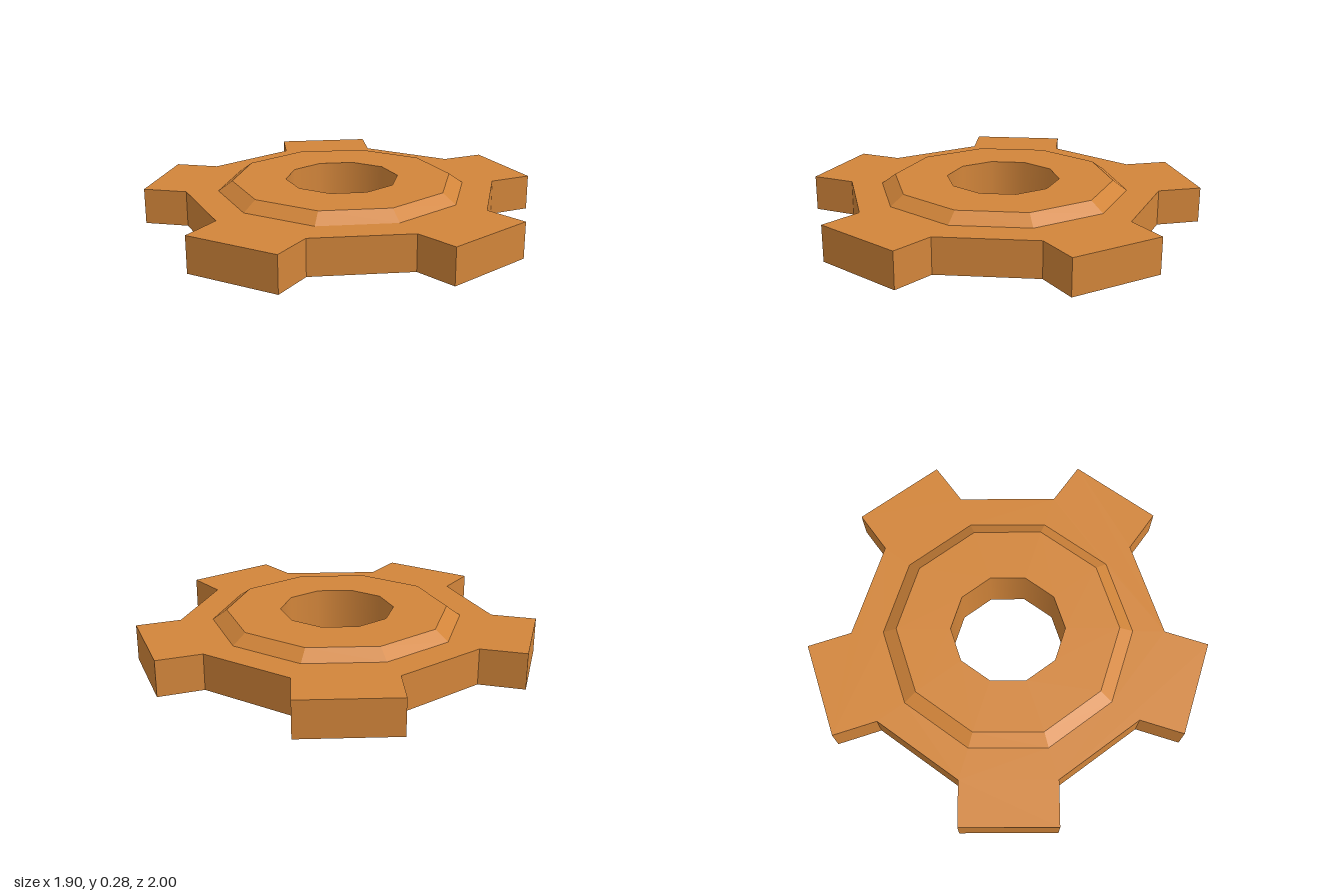
import * as THREE from 'three';

const TEETH = 5, SIDES = 10;
const HEIGHT = 0.285, PLATE_BOTTOM = 0.055, PLATE_TOP = 0.235;
const BORE = 0.285, HUB_FLAT = 0.555, HUB_EDGE = 0.625;

// toothed outline: each tooth is a straight-sided block, rotated about the centre
function gearShape() {
  const tooth = [[0.748, -0.24], [0.972, -0.24], [0.972, 0.24], [0.748, 0.24]];
  const outline = [];
  for (let i = 0; i < TEETH; i++) {
    const angle = (i / TEETH) * Math.PI * 2;
    for (const [x, y] of tooth) {
      outline.push(new THREE.Vector2(x, y).rotateAround(new THREE.Vector2(), angle));
    }
  }
  const shape = new THREE.Shape(outline);
  const hole = [];
  for (let i = 0; i < SIDES; i++) {
    const a = Math.PI / 2 - (i / SIDES) * Math.PI * 2;
    hole.push(new THREE.Vector2(Math.cos(a) * HUB_EDGE, Math.sin(a) * HUB_EDGE));
  }
  shape.holes.push(new THREE.Path(hole));
  return shape;
}

export function createModel() {
  const group = new THREE.Group();
  group.name = 'gear';
  const color = 0xd2853a;
  const flat = new THREE.MeshStandardMaterial({ color, flatShading: true });
  const inside = new THREE.MeshStandardMaterial({ color, side: THREE.BackSide });

  const add = (name, geometry, material) => {
    const mesh = new THREE.Mesh(geometry, material);
    mesh.name = name;
    group.add(mesh);
    return mesh;
  };

  // toothed plate
  const plate = new THREE.ExtrudeGeometry(gearShape(), {
    depth: PLATE_TOP - PLATE_BOTTOM, bevelEnabled: false,
  });
  plate.rotateX(-Math.PI / 2).translate(0, PLATE_BOTTOM, 0);
  add('toothedPlate', plate, flat);

  // raised ten-sided hub faces with sloped rims, below and above the plate
  const ring = (points) =>
    new THREE.LatheGeometry(points.map(([r, y]) => new THREE.Vector2(r, y)), SIDES);
  add('lowerHub', ring([[BORE, 0], [HUB_FLAT, 0], [HUB_EDGE, PLATE_BOTTOM]]), flat);
  add('upperHub', ring([[HUB_EDGE, PLATE_TOP], [HUB_FLAT, HEIGHT], [BORE, HEIGHT]]), flat);

  // smooth-shaded wall of the centre hole
  const bore = new THREE.CylinderGeometry(BORE, BORE, HEIGHT, SIDES, 1, true);
  add('boreWall', bore.translate(0, HEIGHT / 2, 0), inside);

  // an odd tooth count puts the axis slightly off the middle of the bounds
  for (const part of group.children) part.position.x = -0.023;
  return group;
}
